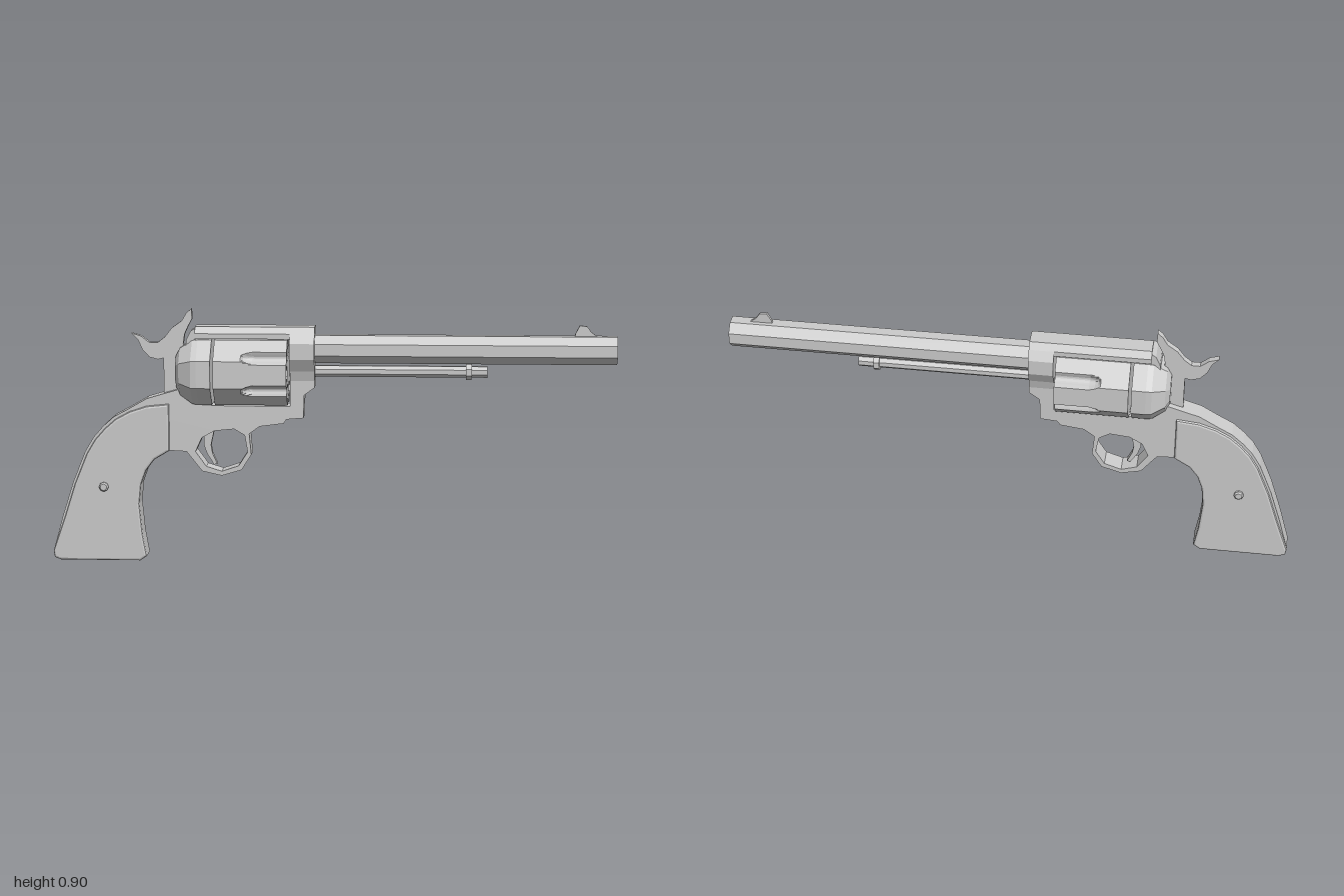
import * as THREE from 'three';

const AXIS_Y = 0.685; // cylinder axis height
const BORE_Y = 0.766; // barrel axis height

export function createModel() {
  const model = new THREE.Group();
  const material = new THREE.MeshStandardMaterial({ color: 0xcccccc, flatShading: true });

  function add(name, geometry, parent = model) {
    const mesh = new THREE.Mesh(geometry, material);
    mesh.name = name;
    parent.add(mesh);
    return mesh;
  }
  const toShape = (pts) => new THREE.Shape(pts.map(([x, y]) => new THREE.Vector2(x, y)));

  // Side outline given thickness across z
  function plate(pts, half, hole) {
    const shape = toShape(pts);
    if (hole) shape.holes.push(toShape(hole));
    return new THREE.ExtrudeGeometry(shape, { depth: half * 2, bevelEnabled: false }).translate(0, 0, -half);
  }
  // Half cross-section [z, y], mirrored and run along x
  function bar(halfPts, x0, x1) {
    const pts = [...halfPts, ...halfPts.map(([z, y]) => [-z, y]).reverse()];
    return new THREE.ExtrudeGeometry(toShape(pts), { depth: x1 - x0, bevelEnabled: false })
      .rotateY(Math.PI / 2).translate(x0, 0, 0);
  }
  // Eight-sided turned part along x, profile [x, radius]
  function turned(profile, y, z = 0) {
    return new THREE.LatheGeometry(profile.map(([x, r]) => new THREE.Vector2(r, x)), 8)
      .rotateY(Math.PI / 8).rotateZ(-Math.PI / 2).translate(0, y, z);
  }

  // Barrel with open bore, and front sight
  add('barrel', turned([[-0.1, 0], [-0.1, 0.053], [1, 0.053], [1, 0.045], [0.6, 0.045], [0.6, 0]], BORE_Y));
  add('frontSight', plate([[0.85, 0.8], [0.855, 0.825], [0.87, 0.853], [0.895, 0.85], [0.91, 0.83], [0.93, 0.815], [0.93, 0.8]], 0.005));

  // Ejector rod under the barrel
  add('ejectorRod', turned([[-0.145, 0], [-0.145, 0.021], [0.475, 0.021], [0.475, 0.03],
    [0.495, 0.03], [0.495, 0.021], [0.55, 0.021], [0.55, 0]], 0.687));

  // Grip outline: back edge from the top down, then front edge upwards
  const gripBack = [[-0.65, 0.562], [-0.71, 0.542], [-0.76, 0.515], [-0.8, 0.48], [-0.835, 0.44], [-0.865, 0.39],
    [-0.91, 0.28], [-0.95, 0.155], [-0.992, 0.035], [-0.988, 0.012], [-0.965, 0.003]];
  const gripFront = [[-0.68, 0.003], [-0.656, 0.02], [-0.67, 0.1], [-0.68, 0.21], [-0.673, 0.28],
    [-0.655, 0.33], [-0.625, 0.37], [-0.57, 0.403]];

  // Frame plate: strap, guard and the wall ahead of the cylinder
  const guardHole = [[-0.303, 0.46], [-0.293, 0.4], [-0.325, 0.35], [-0.385, 0.33], [-0.44, 0.347],
    [-0.478, 0.4], [-0.455, 0.45], [-0.41, 0.475], [-0.34, 0.482]];
  add('frame', plate([
    [-0.42, 0.72], [-0.535, 0.72], [-0.535, 0.622], [-0.59, 0.606], [-0.65, 0.588],
    ...gripBack.slice(1).map(([x, y], i) => (i < 7 ? [x - 0.006, y + 0.008] : [x, y])),
    ...gripFront, [-0.51, 0.4], [-0.49, 0.375], [-0.455, 0.33], [-0.385, 0.314], [-0.315, 0.335],
    [-0.28, 0.39], [-0.287, 0.465], [-0.25, 0.492], [-0.165, 0.503], [-0.155, 0.518], [-0.095, 0.523],
    [-0.092, 0.605], [-0.055, 0.632], [-0.055, 0.74], [-0.142, 0.74], [-0.142, 0.565], [-0.42, 0.565],
  ], 0.035, guardHole));

  // Top strap and barrel mount
  add('topStrap', bar([[0.05, 0.804], [0.05, 0.822], [0.033, 0.845]], -0.475, -0.055));
  add('topStrapRear', plate([[-0.475, 0.78], [-0.475, 0.84], [-0.49, 0.83], [-0.505, 0.8], [-0.51, 0.76]], 0.045));
  add('barrelMount', bar([[0.035, 0.655], [0.045, 0.69], [0.07, 0.735], [0.07, 0.79], [0.05, 0.822], [0.033, 0.845]], -0.142, -0.055));

  // Domed shield behind the cylinder
  add('recoilShield', turned([[-0.545, 0], [-0.545, 0.06], [-0.53, 0.09], [-0.485, 0.122],
    [-0.465, 0.1245], [-0.416, 0.1245], [-0.416, 0]], AXIS_Y));

  // Hammer and trigger
  add('hammer', plate([[-0.5, 0.6], [-0.5, 0.74], [-0.52, 0.78], [-0.515, 0.815], [-0.503, 0.842], [-0.488, 0.87],
    [-0.49, 0.906], [-0.508, 0.89], [-0.525, 0.862], [-0.56, 0.837], [-0.585, 0.805], [-0.61, 0.785],
    [-0.64, 0.785], [-0.67, 0.808], [-0.703, 0.818], [-0.68, 0.795], [-0.665, 0.76], [-0.64, 0.733],
    [-0.61, 0.725], [-0.59, 0.73], [-0.59, 0.6]], 0.012));
  add('trigger', plate([[-0.45, 0.49], [-0.45, 0.42], [-0.44, 0.39], [-0.415, 0.35], [-0.403, 0.352],
    [-0.42, 0.39], [-0.425, 0.42], [-0.41, 0.49]], 0.012));

  // Fluted cylinder
  model.add(makeCylinder());

  // Grip panels and their screw
  const panel = new THREE.ExtrudeGeometry(toShape([[-0.57, 0.57], ...gripBack, ...gripFront]), {
    depth: 0.017, bevelThickness: 0.008, bevelSize: 0.008, bevelOffset: -0.008, bevelSegments: 2 });
  for (const [side, z] of [['left', 0.02], ['right', -0.037]]) {
    // the bevelled panel spans 0.033 in z
    add(side === 'left' ? 'gripPanelFront' : 'gripPanelBack', panel.clone().translate(0, 0, z));
  }
  const screw = new THREE.LatheGeometry([[0, -0.058], [0.012, -0.058], [0.017, -0.053], [0.017, 0.053], [0.012, 0.058], [0, 0.058]]
    .map(([r, y]) => new THREE.Vector2(r, y)), 8).rotateX(Math.PI / 2).translate(-0.805, 0.272, 0);
  add('gripScrew', screw);

  function makeCylinder() {
    const group = new THREE.Group();
    group.name = 'cylinder';
    const N = 144, apothem = 0.115, x1 = -0.15;
    // Octagon with six scooped flutes of half-width w
    function section(w) {
      return Array.from({ length: N }, (_, j) => {
        const a = (j / N) * Math.PI * 2;
        const fromFlat = a - Math.round(a / (Math.PI / 4)) * (Math.PI / 4);
        const fromFlute = a - Math.PI / 6 - Math.round((a - Math.PI / 6) / (Math.PI / 3)) * (Math.PI / 3);
        const scoop = Math.sqrt(Math.max(0, w * w - (0.118 * fromFlute) ** 2));
        const r = apothem / Math.cos(fromFlat) - scoop;
        return [r * Math.cos(a), r * Math.sin(a)];
      });
    }
    const stations = [[-0.406, 0], [-0.31, 0], [-0.302, 0.012], [-0.29, 0.018], [-0.27, 0.022], [x1, 0.022]];
    const positions = [], index = [];
    stations.forEach(([x, w], i) => section(w).forEach(([z, y], j) => {
      positions.push(x, y, z);
      if (i === stations.length - 1) return;
      const a = i * N + j, d = i * N + ((j + 1) % N);
      index.push(a, a + N, d + N, a, d + N, d);
    }));
    const body = new THREE.BufferGeometry();
    body.setAttribute('position', new THREE.Float32BufferAttribute(positions, 3));
    body.setIndex(index);
    body.computeVertexNormals();
    add('cylinderBody', body, group).position.y = AXIS_Y;

    // End faces, the front one pierced by six chambers
    const face = toShape(section(0.022));
    for (let k = 0; k < 6; k++) {
      const a = (k * Math.PI) / 3, cz = 0.079 * Math.cos(a), cy = 0.079 * Math.sin(a), r = 0.029;
      face.holes.push(toShape(Array.from({ length: 8 }, (_, j) => {
        const b = ((j + 0.5) * Math.PI) / 4;
        return [cz + r * Math.cos(b), cy + r * Math.sin(b)];
      })));
      add('chamber', turned([[x1, r], [-0.35, r], [-0.35, 0]], AXIS_Y + cy, cz), group);
    }
    add('cylinderFace', new THREE.ShapeGeometry(face).rotateY(Math.PI / 2).translate(x1, AXIS_Y, 0), group);
    add('cylinderBack', new THREE.ShapeGeometry(toShape(section(0))).rotateY(-Math.PI / 2).translate(-0.406, AXIS_Y, 0), group);
    return group;
  }

  return model;
}
